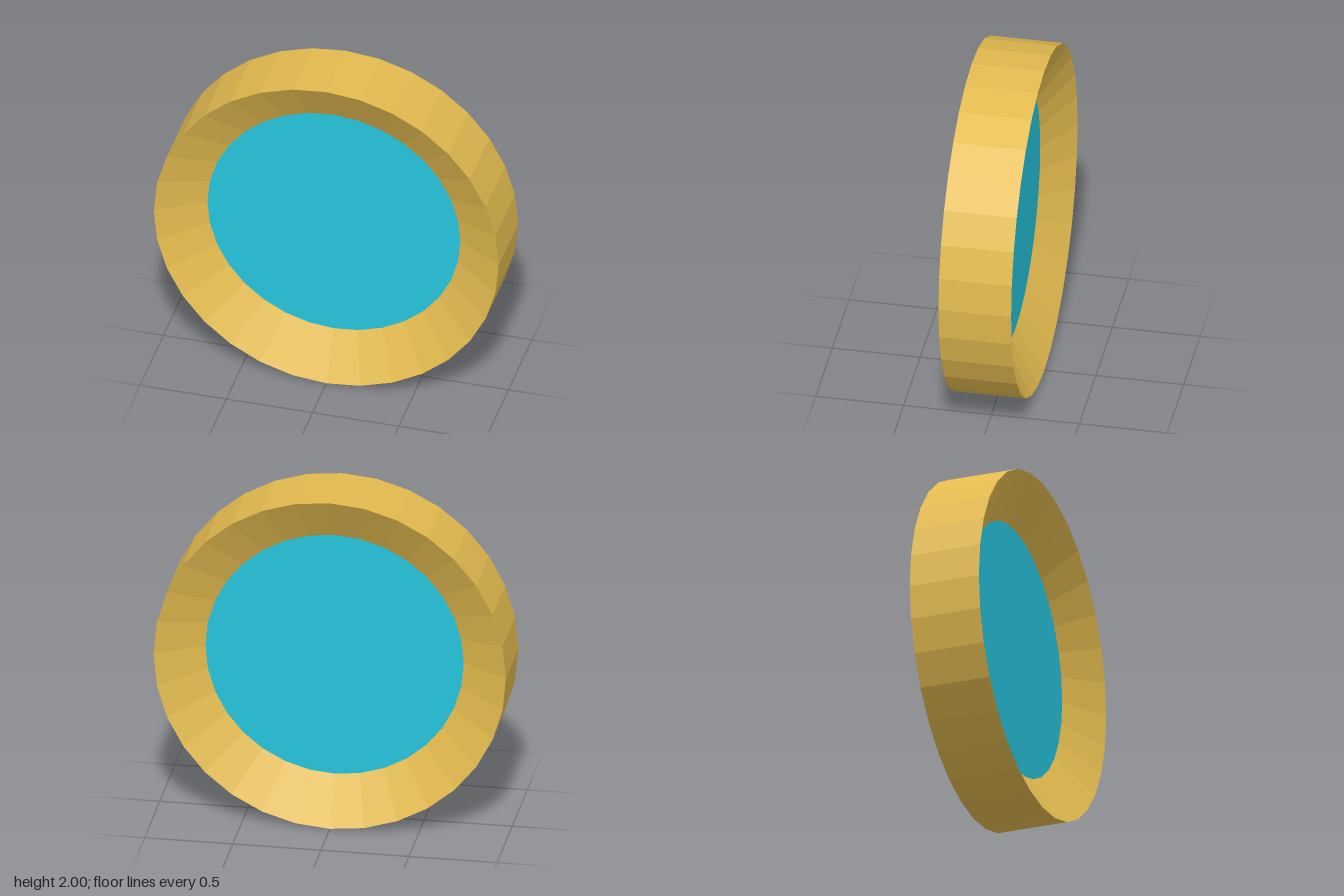
import * as THREE from 'three';

const SIDES = 32;
const OUTER = 1, INNER = 0.733;
const HALF_DEPTH = 0.207, FACE_Z = 0.045;

export function createModel() {
  const gold = new THREE.MeshStandardMaterial({ color: 0xe2ba4e, flatShading: true });
  gold.name = 'gold';
  const cyan = new THREE.MeshStandardMaterial({ color: 0x25c4dc, flatShading: true });
  cyan.name = 'cyan';

  const model = new THREE.Group();
  model.name = 'gem coin';

  // Rim: flat outer band with a bevel sloping in to each face
  const profile = [
    new THREE.Vector2(INNER, -FACE_Z),
    new THREE.Vector2(OUTER, -HALF_DEPTH),
    new THREE.Vector2(OUTER, HALF_DEPTH),
    new THREE.Vector2(INNER, FACE_Z),
  ];
  const rim = new THREE.Mesh(new THREE.LatheGeometry(profile, SIDES).rotateX(Math.PI / 2), gold);
  rim.name = 'rim';
  rim.position.y = OUTER;
  model.add(rim);

  // Recessed disc faces, front and back
  for (const [name, side] of [['frontFace', 1], ['backFace', -1]]) {
    const face = new THREE.Mesh(new THREE.CircleGeometry(INNER, SIDES), cyan);
    face.name = name;
    face.position.set(0, OUTER, side * FACE_Z);
    if (side < 0) face.rotation.y = Math.PI;
    model.add(face);
  }
  return model;
}
